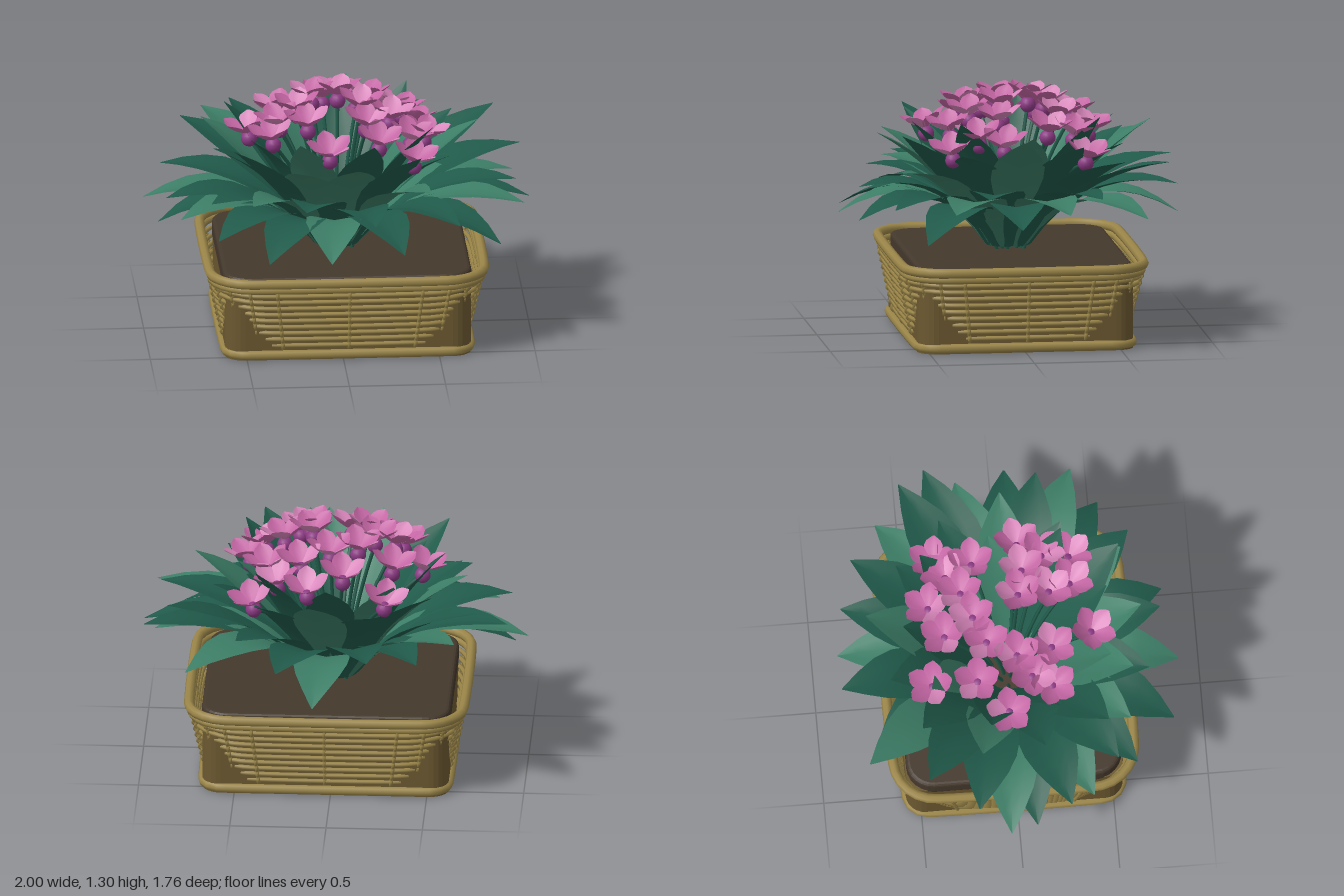
import * as THREE from 'three';

const mat = (name, color, side = THREE.FrontSide) => {
  const m = new THREE.MeshStandardMaterial({ color, side });
  m.name = name;
  return m;
};
const wicker = mat('wicker', 0x9a8548);
const darkWicker = mat('dark wicker', 0x6b5830);
const earth = mat('soil', 0x44382c);
const leafDark = mat('dark leaf green', 0x205a4a, THREE.DoubleSide);
const leafLight = mat('light leaf green', 0x3c7d66, THREE.DoubleSide);
const petalPink = mat('petal pink', 0xc466a4, THREE.DoubleSide);
const petalLight = mat('light petal pink', 0xd886bb, THREE.DoubleSide);
const budPurple = mat('bud purple', 0x8c3a84);

const V = (x, y, z) => new THREE.Vector3(x, y, z);
function add(parent, name, geometry, material) {
  const mesh = new THREE.Mesh(geometry, material);
  mesh.name = name;
  parent.add(mesh);
  return mesh;
}

// Points around a rectangle with rounded corners
function roundedLoop(hx, hz, r) {
  const pts = [];
  [[1, 1], [-1, 1], [-1, -1], [1, -1]].forEach(([sx, sz], q) => {
    for (let i = 0; i <= 6; i++) {
      const a = (q + i / 6) * Math.PI / 2;
      pts.push(new THREE.Vector2(sx * (hx - r) + r * Math.cos(a), sz * (hz - r) + r * Math.sin(a)));
    }
  });
  return pts;
}
function hoop(hx, hz, r, y, thick, sides = 6) {
  const pts = roundedLoop(hx, hz, r).map(p => V(p.x, y, p.y));
  return new THREE.TubeGeometry(new THREE.CatmullRomCurve3(pts, true), 88, thick, sides, true);
}
function slab(hx, hz, r, y, height, bevel) {
  const geo = new THREE.ExtrudeGeometry(new THREE.Shape(roundedLoop(hx - bevel, hz - bevel, r)), {
    depth: height - 2 * bevel, bevelEnabled: bevel > 0, bevelSize: bevel,
    bevelThickness: bevel, bevelSegments: 3,
  });
  return geo.rotateX(-Math.PI / 2).translate(0, y + bevel, 0);
}

// Curved blade growing along +z, with its edges lifted around a central fold
function blade(p0, p1, p2, width, profile, fold) {
  const curve = new THREE.QuadraticBezierCurve3(V(0, ...p0), V(0, ...p1), V(0, ...p2));
  const rows = profile.length - 1, cols = 4, pos = [], index = [];
  for (let j = 0; j <= rows; j++) {
    const p = curve.getPoint(j / rows), t = curve.getTangent(j / rows);
    const w = width * profile[j];
    for (let i = 0; i <= cols; i++) {
      const u = i / cols * 2 - 1, lift = fold * w * Math.abs(u);
      pos.push(u * w, p.y + t.z * lift, p.z - t.y * lift);
      if (j < rows && i < cols) {
        const a = j * (cols + 1) + i, b = a + cols + 1;
        index.push(a, b, a + 1, a + 1, b, b + 1);
      }
    }
  }
  const geo = new THREE.BufferGeometry();
  geo.setAttribute('position', new THREE.Float32BufferAttribute(pos, 3));
  geo.setIndex(index);
  geo.computeVertexNormals();
  return geo;
}

function createBasket() {
  const g = new THREE.Group();
  g.name = 'basket';
  g.position.set(0.03, 0, -0.01);
  add(g, 'basketBody', slab(0.64, 0.565, 0.1, 0, 0.37, 0), darkWicker);
  add(g, 'baseHoop', hoop(0.637, 0.562, 0.11, 0.028, 0.025, 8), wicker);
  add(g, 'rimHoop', hoop(0.712, 0.627, 0.22, 0.435, 0.026, 8), wicker);
  add(g, 'lowerRimHoop', hoop(0.703, 0.618, 0.22, 0.398, 0.02, 8), wicker);
  add(g, 'soil', slab(0.645, 0.56, 0.12, 0.34, 0.105, 0.02), earth);

  // Woven strands flare outwards towards the rim
  const strands = 9, step = 0.036, y0 = 0.078;
  const flare = y => ({ k: 0.06 * (y - y0) / 0.29, r: 0.31 - 0.03 * (y - y0) / 0.29 });
  for (let i = 0; i < strands; i++) {
    const y = y0 + i * step, f = flare(y);
    add(g, 'wovenStrand', hoop(0.638 + f.k, 0.563 + f.k, f.r, y, 0.0125), wicker);
  }

  // Uprights weave in and out of the strands on all four sides
  for (let side = 0; side < 4; side++) {
    const [a, b] = side % 2 ? [0.563, 0.638] : [0.638, 0.563];
    for (const u of [-0.88, -0.74, -0.54, 0, 0.54, 0.74, 0.88]) {
      const pts = [];
      for (let i = 0; i <= 2 * strands; i++) {
        const y = y0 - step / 2 + i * step / 2, f = flare(y);
        const hx = a + f.k, x = u * hx, over = Math.max(0, Math.abs(x) - hx + f.r);
        const z = b + f.k - f.r + Math.sqrt(f.r * f.r - over * over);
        pts.push(V(x, y, z + (i % 2 ? 0.014 : 0.003)));
      }
      const rib = new THREE.TubeGeometry(new THREE.CatmullRomCurve3(pts), 36, 0.01, 5);
      add(g, 'upright', rib, wicker).rotation.y = side * Math.PI / 2;
    }
  }
  return g;
}

function createFoliage() {
  const g = new THREE.Group();
  g.name = 'foliage';
  const profile = [0.12, 0.2, 0.36, 0.6, 0.84, 0.98, 0.98, 0.8, 0.46, 0.02];
  let n = 0;
  // Low leaves arch over, tall ones rise nearly straight
  const leaf = (x, y, z, width) => {
    const r = Math.hypot(x, z);
    const geo = blade([0.46, 0.12], [0.9 - 0.12 * (y - 0.62), r * 0.46], [y, r], width, profile, 0.18);
    add(g, 'leaf', geo, n++ % 3 ? leafDark : leafLight).rotation.y = Math.atan2(x, z);
  };
  // Outer leaves, by tip position
  [
    [-0.65, 0.95, -0.77], [-0.45, 0.8, -0.7], [-0.2, 0.88, -0.88], [0.08, 0.62, -0.88],
    [0.27, 0.8, -0.85], [0.48, 0.95, -0.78], [0.75, 0.7, -0.63], [0.85, 1.02, -0.5],
    [0.98, 0.85, -0.36], [0.93, 0.76, -0.2], [1, 0.7, 0.06], [0.92, 0.85, 0.22],
    [0.95, 0.78, 0.4], [0.82, 0.6, 0.53], [0.6, 0.75, 0.67], [0.45, 0.92, 0.62],
    [0.3, 0.65, 0.82], [0.15, 0.8, 0.8], [-0.08, 0.63, 0.88], [-0.2, 0.86, 0.72],
    [-0.4, 0.62, 0.83], [-0.47, 0.86, 0.6], [-0.65, 0.68, 0.62], [-0.68, 0.85, 0.52],
    [-0.83, 0.72, 0.38], [-0.9, 0.8, 0.26], [-0.93, 0.61, 0.08], [-1, 0.7, -0.06],
    [-0.9, 0.83, -0.22], [-0.78, 1, -0.47],
  ].forEach(([x, y, z]) => leaf(x, y, z, 0.145));
  // Upright inner leaves: count, tip radius, tip height, width, turn
  for (const [count, r, y, w, turn] of [[13, 0.7, 1.07, 0.14, 0.1], [9, 0.55, 1.14, 0.13, 0.3]]) {
    for (let i = 0; i < count; i++) {
      const a = turn + i / count * Math.PI * 2, wave = Math.sin(i * 2.4);
      leaf((r + 0.04 * wave) * Math.sin(a), y + 0.05 * wave, (r + 0.04 * wave) * Math.cos(a), w);
    }
  }
  return g;
}

function createFlowers() {
  const g = new THREE.Group();
  g.name = 'flowers';
  const petal = blade([0.015, 0.005], [0.045, 0.075], [0.1, 0.122], 0.05,
    [0.25, 0.5, 0.8, 1, 1, 0.78, 0.12], 0.25);
  const bud = new THREE.SphereGeometry(0.042, 14, 10);
  const spots = [
    [0.13, -0.4], [-0.27, -0.41], [0.41, -0.35], [-0.05, -0.33], [0.17, -0.23], [-0.3, -0.18],
    [0.34, -0.16], [-0.12, -0.12], [0.02, -0.18], [-0.45, -0.03], [-0.2, 0.03], [0.12, 0.06],
    [0.27, 0.09], [0.45, 0.08], [-0.34, 0.2], [-0.16, 0.21], [0.14, 0.22], [0.38, 0.34],
    [0.2, 0.33], [-0.06, 0.42], [0.29, -0.3], [-0.3, 0.1], [0.37, 0.2],
  ];
  spots.forEach(([x, z], k) => {
    const y = 1.19 - 0.85 * (x * x + z * z);
    const stem = new THREE.QuadraticBezierCurve3(V(x * 0.2, 0.44, z * 0.2), V(x * 0.5, 0.85, z * 0.5), V(x, y, z));
    add(g, 'stem', new THREE.TubeGeometry(stem, 10, 0.01, 5), leafDark);
    // Each flower leans away from the middle
    const flower = new THREE.Group();
    flower.name = 'flower';
    flower.position.set(x, y, z);
    flower.quaternion.setFromUnitVectors(V(0, 1, 0), V(x * 0.5, 1, z * 0.5).normalize());
    add(flower, 'bud', bud, budPurple);
    for (let i = 0; i < 5; i++) {
      const p = add(flower, 'petal', petal, (i + k) % 4 ? petalPink : petalLight);
      p.position.y = 0.015;
      p.rotation.y = k * 1.3 + i / 5 * Math.PI * 2;
    }
    g.add(flower);
  });
  return g;
}

export function createModel() {
  const model = new THREE.Group();
  model.name = 'pottedFlowers';
  model.add(createBasket(), createFoliage(), createFlowers());
  return model;
}
